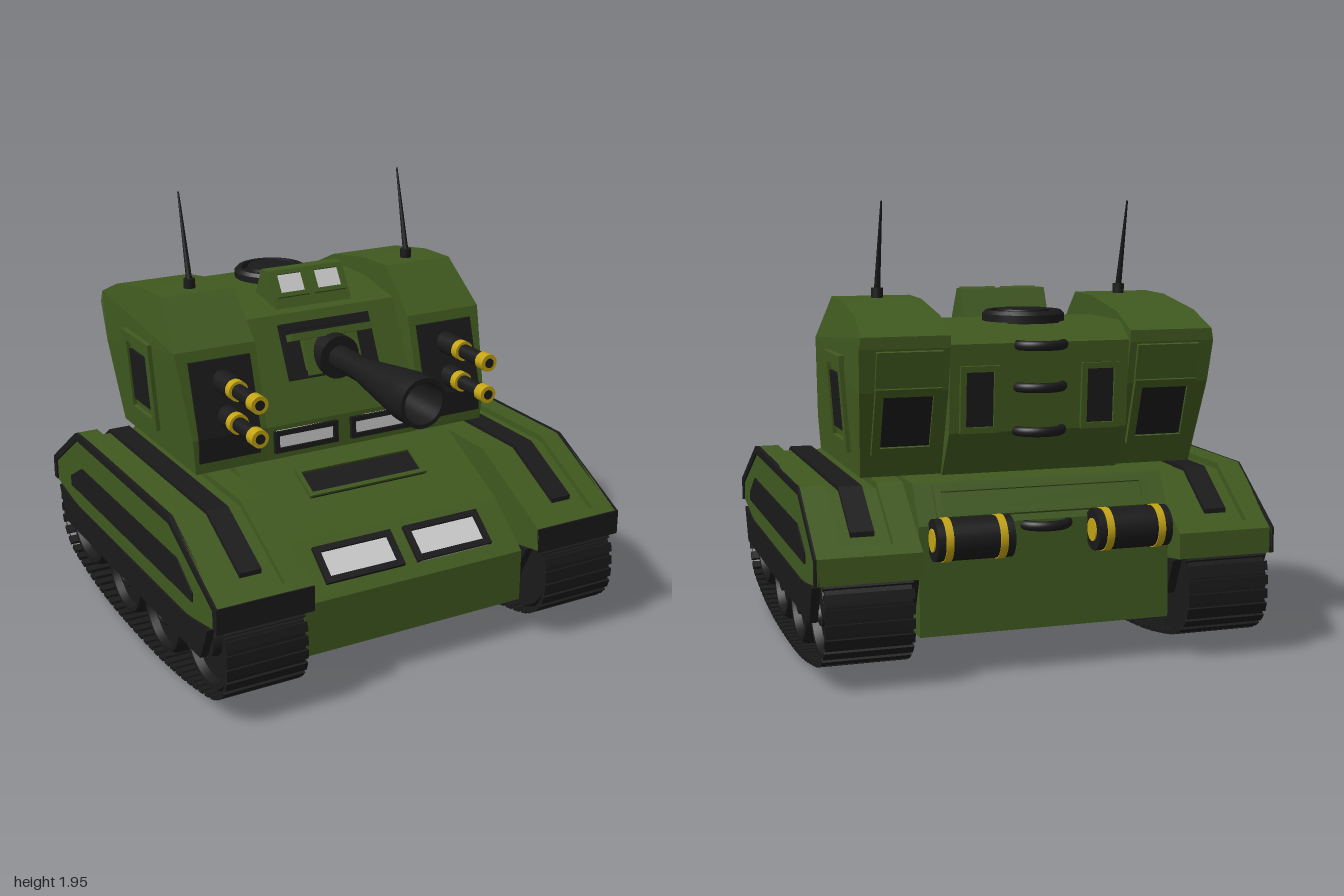
import * as THREE from 'three';
import { toCreasedNormals } from 'three/addons/utils/BufferGeometryUtils.js';

const paint = (color) => new THREE.MeshStandardMaterial({ color });
const green = paint(0x40591f), black = paint(0x1a1a1a), yellow = paint(0xc4a412), glass = paint(0xcccccc);

export function createModel() {
  const tank = new THREE.Group();
  tank.name = 'tank';

  const add = (name, geometry, material, parent = tank) => {
    const mesh = new THREE.Mesh(geometry, material);
    mesh.name = name;
    parent.add(mesh);
    return mesh;
  };
  const group = (name) => {
    const g = new THREE.Group();
    g.name = name;
    tank.add(g);
    return g;
  };
  const outline = (pts) => new THREE.Shape(pts.map(([a, b]) => new THREE.Vector2(a, b)));

  // Side profile in (z, y), extruded across x from xa to xb
  const slab = (profile, xa, xb) => {
    const shape = Array.isArray(profile) ? outline(profile) : profile;
    const g = new THREE.ExtrudeGeometry(shape, { depth: Math.abs(xb - xa), bevelEnabled: false });
    return g.rotateY(-Math.PI / 2).translate(Math.max(xa, xb), 0, 0);
  };
  // Turned part along an axis; points are [radius, distance along axis]
  const turned = (pts, axis, dir = 1, segments = 32) => {
    const lathe = new THREE.LatheGeometry(pts.map(([r, h]) => new THREE.Vector2(r, h)), segments);
    const g = toCreasedNormals(lathe, 0.5);
    return axis === 'x' ? g.rotateZ(-dir * Math.PI / 2) : axis === 'z' ? g.rotateX(Math.PI / 2) : g;
  };
  const rod = (r, a, b, axis, dir = 1) => turned([[0, a], [r, a], [r, b], [0, b]], axis, dir, 24);

  // Flat panel lying on the line [z0,y0]-[z1,y1]; facing is to the front when y rises
  const place = (mesh, x, [z0, y0], [z1, y1]) => {
    mesh.position.set(x, (y0 + y1) / 2, (z0 + z1) / 2);
    mesh.rotation.x = Math.atan2(z1 - z0, y1 - y0);
    return mesh;
  };
  const panel = (name, mat, x, w, a, b, t, parent) =>
    place(add(name, new THREE.BoxGeometry(w, Math.hypot(b[0] - a[0], b[1] - a[1]), t), mat, parent), x, a, b);
  const frameShape = (w, h, rim) => {
    const rect = (W, H) => [[-W, -H], [W, -H], [W, H], [-W, H]];
    const s = outline(rect(w / 2, h / 2));
    s.holes.push(outline(rect(w / 2 - rim, h / 2 - rim)));
    return new THREE.ExtrudeGeometry(s, { depth: 0.024, bevelEnabled: false }).translate(0, 0, -0.006);
  };
  const framed = (name, frameMat, fillMat, x, w, a, b, rim, parent) => {
    panel(name, fillMat, x, w - rim, a, b, 0.012, parent);
    const h = Math.hypot(b[0] - a[0], b[1] - a[1]);
    place(add(name + 'Frame', frameShape(w, h, rim), frameMat, parent), x, a, b);
  };

  // Hull
  const hull = group('hull');
  add('hullBody', slab([[0.84, 0.18], [0.84, 0.42], [0.62, 0.6], [0.2, 0.81], [-0.72, 0.8],
    [-0.82, 0.64], [-0.83, 0.18]], -0.55, 0.55), green, hull);
  for (const s of [-1, 1])
    framed('frontWindow', black, glass, s * 0.225, 0.385, [0.79, 0.462], [0.655, 0.572], 0.028, hull);
  framed('frontSlot', green, black, 0, 0.6, [0.43, 0.695], [0.285, 0.7675], 0.02, hull);
  framed('rearSlot', green, green, 0, 0.94, [-0.73, 0.785], [-0.805, 0.665], 0.03, hull);

  // Running gear and fenders
  const fenderTop = [[0.945, 0.46], [0.945, 0.56], [0.5, 0.79], [-0.59, 0.79], [-0.925, 0.56], [-0.925, 0.45]];
  const fenderBelow = [[-0.6, 0.4], [0.62, 0.4]];
  const inset = [[-0.89, 0.45], [-0.89, 0.545], [-0.58, 0.755], [0.49, 0.755], [0.91, 0.54], [0.91, 0.46]];
  const lowered = [[0.945, 0.46], [0.945, 0.56], [0.9, 0.58], [0.88, 0.565], [0.5, 0.762], [-0.58, 0.762],
    [-0.86, 0.57], [-0.88, 0.59], [-0.925, 0.56], [-0.925, 0.45]];
  const loop = new THREE.CatmullRomCurve3([[0.955, 0.33], [0.94, 0.2], [0.86, 0.115], [0.65, 0.058], [0.34, 0.02],
    [0, 0.01], [-0.34, 0.02], [-0.63, 0.058], [-0.84, 0.115], [-0.92, 0.2], [-0.935, 0.33], [-0.91, 0.43],
    [-0.7, 0.54], [0, 0.54], [0.72, 0.54], [0.93, 0.43]].map(([z, y]) => new THREE.Vector3(0, y, z)), true);

  for (const s of [-1, 1]) {
    const side = s > 0 ? 'left' : 'right';
    const fender = group(side + 'Fender');
    add('outerRail', slab([...fenderTop, ...fenderBelow], s * 0.89, s * 0.992), green, fender);
    add('innerRail', slab([...fenderTop, ...fenderBelow], s * 0.56, s * 0.67), green, fender);
    add('sunkenTop', slab([...lowered, ...fenderBelow], s * 0.67, s * 0.89), green, fender);
    add('sideBorder', slab([...fenderTop, ...inset], s * 0.98, s), black, fender);
    add('sidePanel', slab([[0.71, 0.49], [0.71, 0.53], [0.56, 0.625], [-0.54, 0.625], [-0.69, 0.54], [-0.69, 0.49]],
      s * 0.98, s * 0.998), black, fender);
    add('topStrip', slab([[0.81, 0.59], [0.81, 0.622], [0.505, 0.78], [-0.585, 0.78], [-0.8, 0.632], [-0.8, 0.6],
      [-0.58, 0.75], [0.5, 0.75]], s * 0.73, s * 0.83), black, fender);
    panel('frontPlate', black, s * 0.78, 0.44, [0.943, 0.45], [0.943, 0.562], 0.01, fender);
    add('underside', new THREE.BoxGeometry(0.42, 0.02, 1.24).translate(s * 0.78, 0.395, 0), black, fender);
    for (const [a, b] of [[0.965, 1], [0.56, 0.6]])
      add('skirt', slab([[0.86, 0.43], [0.78, 0.27], [-0.79, 0.27], [-0.86, 0.43], [-0.6, 0.405], [0.62, 0.405]],
        s * a, s * b), black, fender);

    // Track band with cross ribs
    const track = group(side + 'Track');
    const pts = loop.getSpacedPoints(96).slice(0, -1);
    const band = outline(pts.map((p) => [p.z, p.y]));
    band.holes.push(outline(pts.map((p) => [0.01 + (p.z - 0.01) * 0.985, 0.28 + (p.y - 0.28) * 0.955])));
    add('trackBand', slab(band, s * 0.605, s * 0.96), black, track);
    const ribs = 72;
    for (let i = 0; i < ribs; i++) {
      const p = loop.getPointAt(i / ribs), t = loop.getTangentAt(i / ribs);
      const rib = add('trackRib', new THREE.BoxGeometry(0.37, 0.018, 0.04), black, track);
      rib.position.set(s * 0.782, p.y, p.z);
      rib.rotation.x = Math.atan2(-t.y, t.z);
    }

    // Road wheels
    for (const [z, y, R] of [[0.69, 0.31, 0.24], [0.225, 0.22, 0.2], [-0.205, 0.22, 0.2], [-0.68, 0.31, 0.24]]) {
      const wheel = add('wheel', turned([[0, -0.15], [0.95 * R, -0.15], [R, -0.13], [R, 0.12], [0.94 * R, 0.15],
        [0.84 * R, 0.15], [0.8 * R, 0.115], [0.38 * R, 0.115], [0.35 * R, 0.15], [0.26 * R, 0.15],
        [0.24 * R, 0.135], [0, 0.135]], 'x', s, 40), black, track);
      wheel.position.set(s * 0.785, y, z);
    }
  }

  // Central turret
  const turret = group('turret');
  add('turretBody', slab([[0.2, 0.81], [0.19, 0.96], [-0.03, 1.4], [-0.29, 1.445], [-0.64, 1.445], [-0.745, 1.37],
    [-0.72, 1.0], [-0.61, 0.81]], -0.392, 0.392), green, turret);
  for (const s of [-1, 1]) {
    framed('turretWindow', black, glass, s * 0.195, 0.32, [0.2, 0.84], [0.193, 0.94], 0.022, turret);
    framed('rearVent', green, black, s * 0.265, 0.17, [-0.737, 1.28], [-0.721, 1.0], 0.025, turret);
    framed('periscopeGlass', green, glass, s * 0.095, 0.165, [-0.1, 1.452], [-0.168, 1.56], 0.02, turret);
  }
  add('periscopeBox', slab([[-0.075, 1.4], [-0.1, 1.45], [-0.17, 1.565], [-0.225, 1.565], [-0.29, 1.43]],
    -0.195, 0.195), green, turret);

  // Roof hatch
  const hatch = group('hatch');
  hatch.position.set(0, 1.44, -0.51);
  add('hatchRing', turned([[0.175, 0], [0.175, 0.035], [0.16, 0.05], [0.14, 0.05], [0.135, 0.025], [0.118, 0.025],
    [0.11, 0.055], [0, 0.06]], 'y', 1, 40), black, hatch);
  for (const s of [-1, 1])
    add('hinge', new THREE.BoxGeometry(0.04, 0.035, 0.12).translate(s * 0.032, 0.02, 0.2), black, hatch);

  // Curved grab handles up the back
  for (const [y, z] of [[1.36, -0.725], [1.185, -0.715], [1.0, -0.705], [0.62, -0.79]]) {
    const handle = add('rearHandle', new THREE.TorusGeometry(0.1, 0.021, 10, 20, Math.PI), black);
    handle.rotation.x = -Math.PI / 2;
    handle.scale.y = 0.85;
    handle.position.set(0, y, z);
  }

  // Main gun and mantlet
  const gun = group('mainGun');
  framed('mantlet', black, black, 0, 0.46, [0.113, 1.13], [0.0, 1.36], 0.035, gun);
  panel('mantletPlate', green, 0, 0.28, [0.115, 1.14], [0.04, 1.3], 0.05, gun);
  panel('mantletVisor', green, 0, 0.42, [0.072, 1.3], [0.06, 1.33], 0.06, gun);
  add('gunCollar', rod(0.1, 0, 0.16, 'z').translate(0, 1.22, 0), black, gun);
  add('barrel', turned([[0.056, 0.03], [0.056, 0.37], [0.11, 0.75], [0.11, 0.86], [0.092, 0.86], [0.085, 0.75],
    [0.045, 0.42], [0.045, 0.3]], 'z').translate(0, 1.22, 0), black, gun);
  add('boreEnd', rod(0.046, 0.3, 0.34, 'z').translate(0, 1.22, 0), glass, gun);

  for (const s of [-1, 1]) {
    // Side pod: outer wall leans out to the shoulder, then in
    const pod = group(s > 0 ? 'leftPod' : 'rightPod');
    const body = slab([[0.21, 0.815], [0.21, 0.97], [0.1, 1.34], [-0.1, 1.535], [-0.305, 1.53], [-0.6, 1.48],
      [-0.757, 1.41], [-0.757, 1.36], [-0.72, 1.18], [-0.6, 0.815]], s * 0.394, s * 0.78);
    const p = body.attributes.position;
    for (let i = 0; i < p.count; i++) {
      const y = p.getY(i);
      if (Math.abs(p.getX(i)) > 0.6) p.setX(i, s * (0.78 - Math.max(0, 1.34 - y) * 0.075 - Math.max(0, y - 1.34) * 0.18));
    }
    body.computeVertexNormals();
    add('podBody', body, green, pod);
    add('frontPanel', slab([[0.19, 0.865], [0.22, 0.865], [0.22, 0.975], [0.124, 1.295], [0.09, 1.295]],
      s * 0.43, s * 0.725), black, pod);
    framed('rearPanel', green, black, s * 0.565, 0.28, [-0.728, 1.2], [-0.635, 0.915], 0.035, pod);
    panel('rearOverhang', green, s * 0.565, 0.28, [-0.762, 1.35], [-0.728, 1.2], 0.02, pod);

    // Framed door on the outer wall
    const door = new THREE.Group();
    door.name = 'sideDoor';
    door.position.set(s * 0.763, 1.105, -0.31);
    door.rotation.z = -s * 0.075;
    pod.add(door);
    add('doorFrame', frameShape(0.305, 0.41, 0.045).rotateY(s * Math.PI / 2), green, door);
    add('doorPanel', new THREE.BoxGeometry(0.024, 0.245, 0.19), black, door);

    // Twin small guns
    for (const y of [1.2, 1.05]) {
      const small = new THREE.Group();
      small.name = 'smallGun';
      small.position.set(s * 0.575, y, 0);
      pod.add(small);
      for (const [name, r, a, b, m] of [['breech', 0.05, 0.08, 0.265, black], ['rearBand', 0.046, 0.265, 0.305, yellow],
        ['smallBarrel', 0.033, 0.3, 0.46, black], ['muzzleBand', 0.04, 0.45, 0.505, yellow],
        ['muzzle', 0.022, 0.5, 0.508, black]])
        add(name, rod(r, a, b, 'z'), m, small);
    }

    // Antenna
    add('antennaBase', new THREE.CylinderGeometry(0.026, 0.026, 0.05, 12).translate(s * 0.565, 1.55, -0.2), black, pod);
    const mast = add('antenna', new THREE.CylinderGeometry(0.004, 0.014, 0.395, 10), black, pod);
    mast.position.set(s * 0.565, 1.757, -0.247);
    mast.rotation.x = -0.237;

    // Fuel drum on the back
    const drum = group(s > 0 ? 'leftDrum' : 'rightDrum');
    drum.position.set(s * 0.345, 0.595, -0.88);
    add('drumBody', rod(0.087, -0.163, 0.163, 'x'), black, drum);
    for (const e of [-1, 1]) {
      add('drumBand', rod(0.091, 0.098, 0.13, 'x', e), yellow, drum);
      add('drumCap', rod(0.048, 0.16, 0.168, 'x', e), yellow, drum);
    }
  }
  return tank;
}
